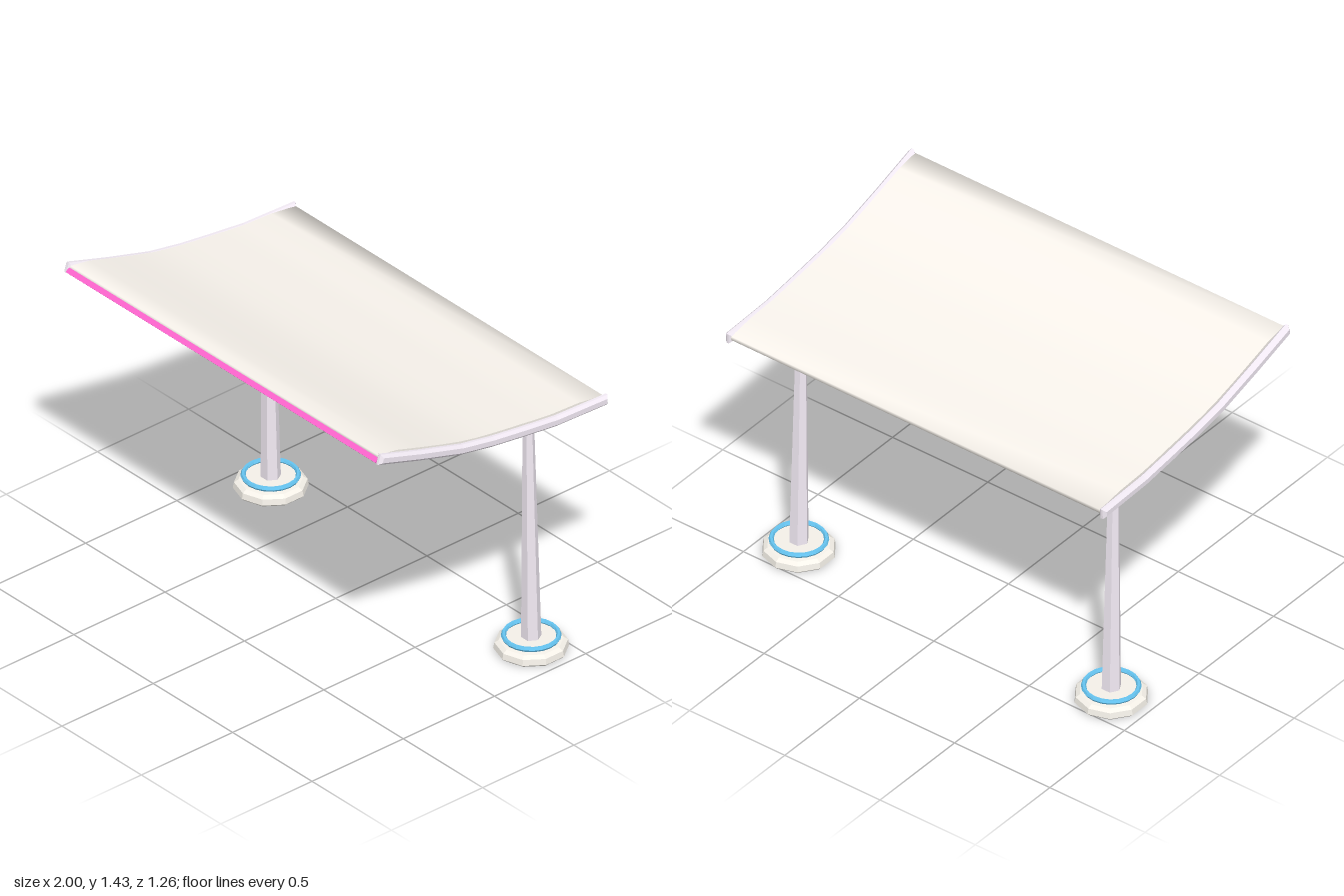
import * as THREE from 'three';
import { toCreasedNormals } from 'three/addons/utils/BufferGeometryUtils.js';

const panelWhite = new THREE.MeshStandardMaterial({ color: 0xf8f3ec });
const footWhite = new THREE.MeshStandardMaterial({ color: 0xf4f0e8 });
const frameWhite = new THREE.MeshStandardMaterial({ color: 0xf3ebf5 });
const pink = new THREE.MeshStandardMaterial({ color: 0xff66d0 });
const blue = new THREE.MeshStandardMaterial({ color: 0x66c4f0 });
for (const material of [footWhite, frameWhite, pink, blue]) material.flatShading = true;

function add(parent, name, geometry, material, x = 0, y = 0, z = 0) {
  const mesh = new THREE.Mesh(geometry, material);
  mesh.name = name;
  mesh.position.set(x, y, z);
  parent.add(mesh);
  return mesh;
}

// Roof sweep from front to back, as (-z, y)
const sweep = [[-0.62, 1.41], [-0.4, 1.34], [-0.17, 1.273], [0, 1.241], [0.17, 1.218], [0.35, 1.196], [0.63, 1.186]]
  .map(([u, y]) => new THREE.Vector2(u, y));

// Band along a line, offset below and above it, extruded across x; endScale thins its two ends
function band(points, { below, above, width, bevel = 0, endScale = 1 }) {
  const last = points.length - 1;
  const offset = (distance) => points.map((p, i) => {
    const t = points[Math.min(i + 1, last)].clone().sub(points[Math.max(i - 1, 0)]).normalize();
    const d = i === 0 || i === last ? distance * endScale : distance;
    return new THREE.Vector2(p.x - t.y * d, p.y + t.x * d);
  });
  const shape = new THREE.Shape([...offset(-below), ...offset(above).reverse()]);
  const geometry = new THREE.ExtrudeGeometry(shape, {
    depth: width - 2 * bevel, steps: 1, bevelEnabled: bevel > 0,
    bevelSize: bevel, bevelThickness: bevel, bevelOffset: -bevel, bevelSegments: 1,
  });
  geometry.translate(0, 0, -width / 2 + bevel);
  geometry.rotateY(Math.PI / 2);
  return geometry;
}

function createRoof() {
  const roof = new THREE.Group();
  roof.name = 'roof';

  // Curved panel with thin front and back edges, shaded smoothly over them
  const curve = new THREE.SplineCurve(sweep);
  const line = Array.from({ length: 13 }, (_, i) => curve.getPoint(0.008 + 0.984 * i / 12));
  const panel = band(line, { below: 0.014, above: 0.027, width: 1.936, endScale: 0.45 });
  add(roof, 'roofPanel', toCreasedNormals(panel, 1.52), panelWhite);

  // Faceted rails along both sides
  for (const side of [-1, 1]) {
    const rail = band(sweep, { below: 0.024, above: 0.023, width: 0.036, bevel: 0.012 });
    add(roof, side > 0 ? 'leftRail' : 'rightRail', rail, frameWhite, side * 0.982);
  }

  // Coloured diamond-section strip on the front edge
  const strip = new THREE.CylinderGeometry(0.017, 0.017, 1.95, 4, 1);
  strip.rotateZ(Math.PI / 2);
  add(roof, 'frontStrip', strip, pink, 0, 1.394, 0.614);
  return roof;
}

function createPost(name) {
  const post = new THREE.Group();
  post.name = name;

  // Stepped foot
  const profile = [[0, 0], [0.148, 0], [0.158, 0.01], [0.153, 0.036], [0.135, 0.048], [0.118, 0.05], [0.112, 0.06], [0, 0.06]]
    .map(([r, y]) => new THREE.Vector2(r, y));
  add(post, 'foot', new THREE.LatheGeometry(profile, 10), footWhite);

  // Ring around the foot
  const ring = new THREE.TorusGeometry(0.115, 0.011, 6, 20);
  ring.rotateX(Math.PI / 2);
  add(post, 'footRing', ring, blue, 0, 0.066, 0);

  // Six-sided tapering column with an upright front face
  const height = 1.14;
  const column = new THREE.CylinderGeometry(0.023, 0.043, height, 6, 1);
  column.rotateY(Math.PI / 2);
  const pos = column.attributes.position;
  for (let i = 0; i < pos.count; i++) {
    if (pos.getY(i) > 0) pos.setZ(i, pos.getZ(i) + 0.017);
  }
  add(post, 'column', column, frameWhite, 0, 0.05 + height / 2, 0);
  return post;
}

export function createModel() {
  const model = new THREE.Group();
  model.name = 'canopy';
  model.add(createRoof());
  for (const side of [-1, 1]) {
    const post = createPost(side > 0 ? 'leftPost' : 'rightPost');
    post.position.set(side * 0.82, 0, -0.358);
    model.add(post);
  }
  return model;
}
